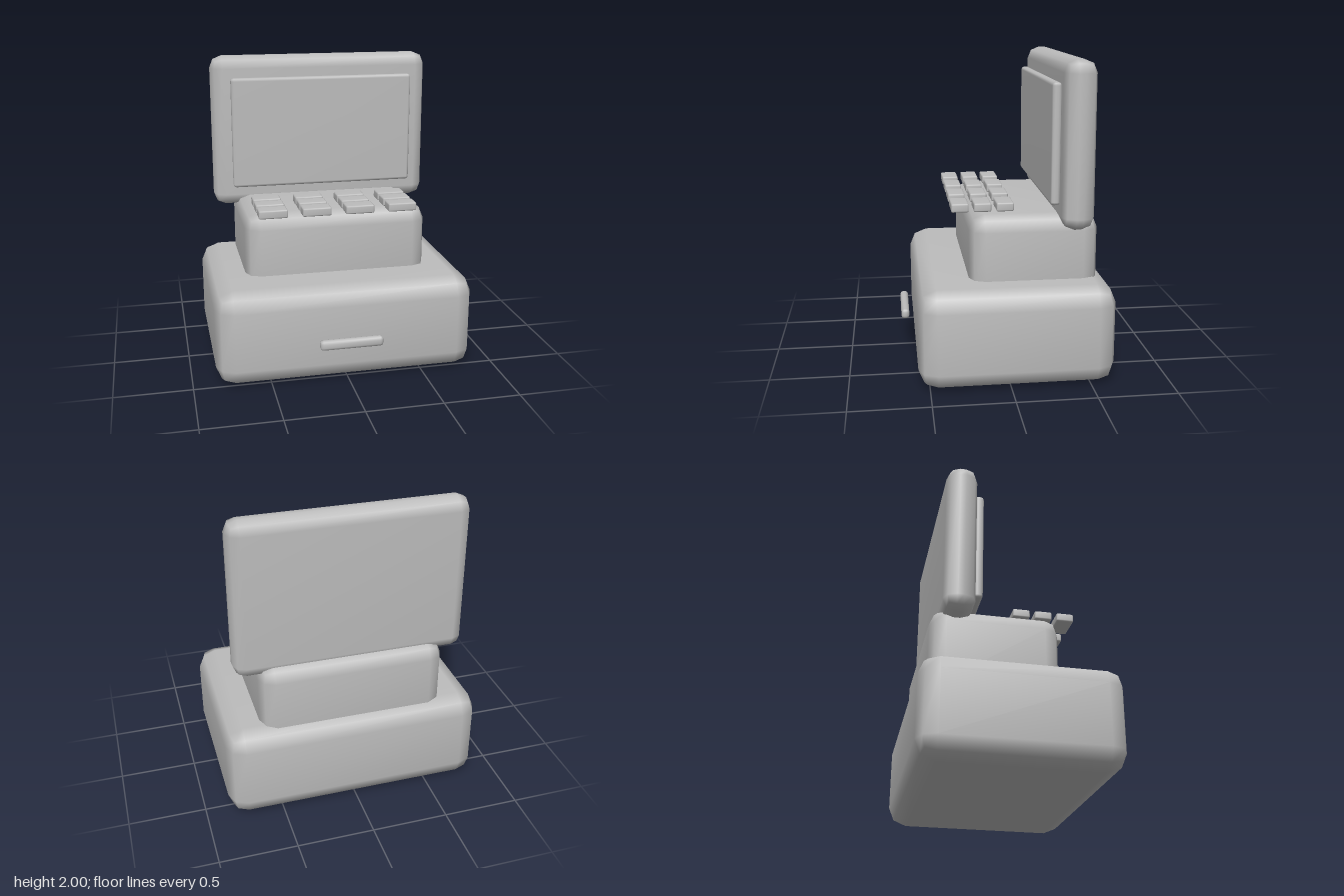
import * as THREE from 'three';
import { RoundedBoxGeometry } from 'three/addons/geometries/RoundedBoxGeometry.js';
import { mergeVertices } from 'three/addons/utils/BufferGeometryUtils.js';

const grey = new THREE.MeshStandardMaterial({ color: 0xbcbcbc });
grey.name = 'grey';

// Softly bevelled box given by its [min, max] extent on each axis
function bevelBox(name, [x0, x1], [y0, y1], [z0, z1], radius) {
  let geometry = new RoundedBoxGeometry(x1 - x0, y1 - y0, z1 - z0, 1, radius);
  geometry.deleteAttribute('normal');
  geometry.deleteAttribute('uv');
  geometry = mergeVertices(geometry, 1e-5);
  geometry.computeVertexNormals();
  const mesh = new THREE.Mesh(geometry, grey);
  mesh.name = name;
  mesh.position.set((x0 + x1) / 2, (y0 + y1) / 2, (z0 + z1) / 2);
  return mesh;
}

export function createModel() {
  const group = new THREE.Group();
  group.name = 'cashRegister';

  // Cash drawer base, keyboard body, upright monitor with its display
  group.add(
    bevelBox('drawerBase', [-0.85, 0.85], [0, 0.63], [-0.66, 0.57], 0.12),
    bevelBox('drawerHandle', [-0.205, 0.205], [0.255, 0.32], [0.607, 0.66], 0.02),
    bevelBox('body', [-0.61, 0.61], [0.44, 1.04], [-0.58, 0.235], 0.1),
    bevelBox('monitor', [-0.755, 0.755], [0.965, 2], [-0.522, -0.32], 0.08),
    bevelBox('display', [-0.628, 0.628], [1.107, 1.86], [-0.322, -0.263], 0.02)
  );

  // Floating keys: three rows of four
  const keys = new THREE.Group();
  keys.name = 'keys';
  for (let row = 0; row < 3; row++) {
    for (let col = 0; col < 4; col++) {
      const x = -0.443 + col * 0.283;
      const z = 0.001 + row * 0.142;
      keys.add(bevelBox('key', [x - 0.094, x + 0.094], [1.049, 1.104], [z - 0.055, z + 0.055], 0.01));
    }
  }
  group.add(keys);
  return group;
}
